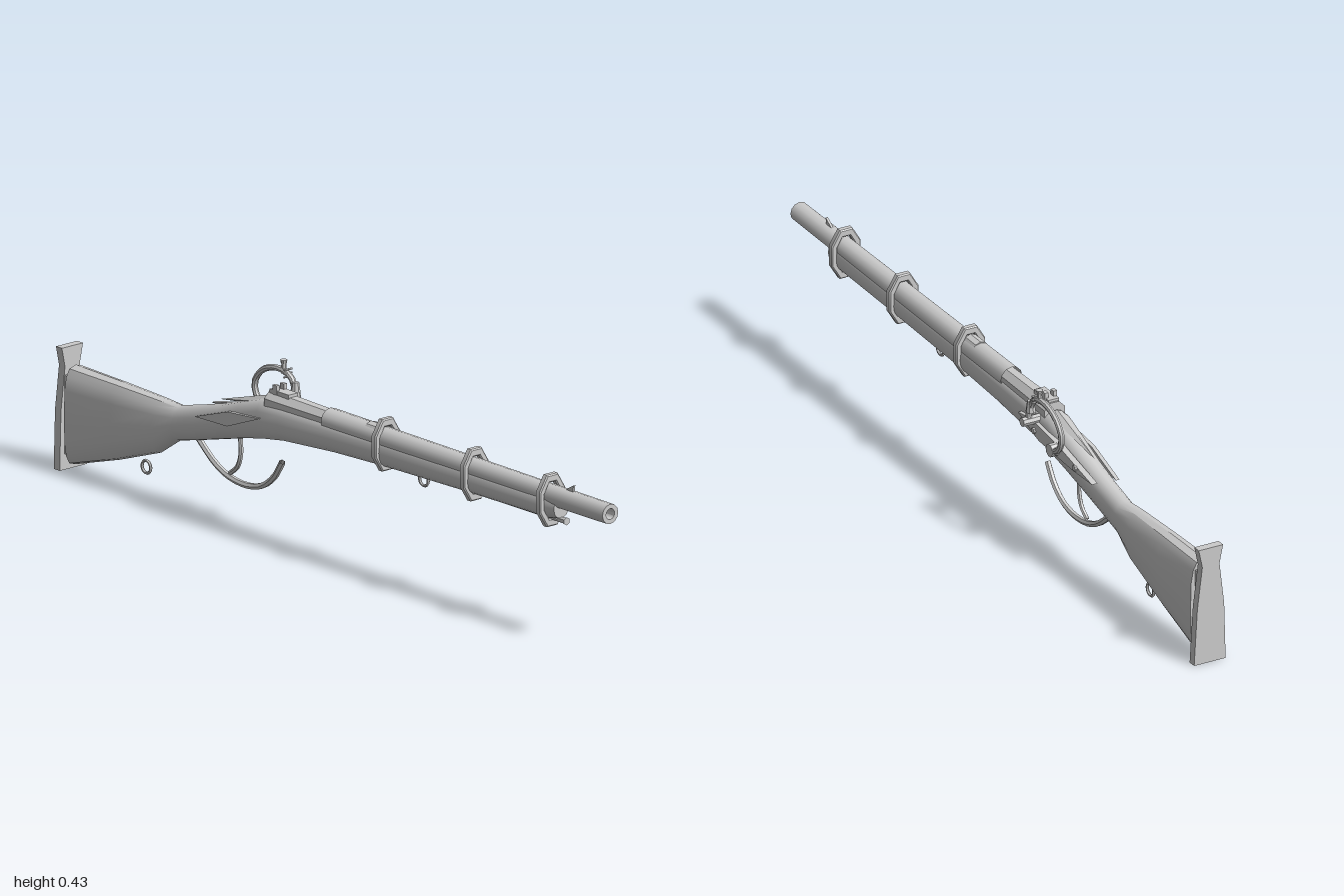
import * as THREE from 'three';
import { toCreasedNormals } from 'three/addons/utils/BufferGeometryUtils.js';

const CX = -0.017; // centre line of barrel and stock
const mat = new THREE.MeshStandardMaterial({ color: 0xcccccc, side: THREE.DoubleSide });

function add(group, name, geo, x = 0, y = 0, z = 0) {
  const mesh = new THREE.Mesh(toCreasedNormals(geo, 0.6), mat);
  mesh.name = name;
  mesh.position.set(x, y, z);
  group.add(mesh);
  return mesh;
}

// Closed skin over oval sections [z, bottom, top, halfWidth, roundness], running from +z to -z
function loft(sections, sides) {
  const pos = [], index = [];
  const pow = (v, p) => Math.sign(v) * Math.abs(v) ** p;
  for (const [z, lo, hi, w, p] of sections) {
    for (let j = 0; j < sides; j++) {
      const a = (j / sides) * Math.PI * 2;
      pos.push(CX + w * pow(Math.cos(a), p), (lo + hi) / 2 + (hi - lo) / 2 * pow(Math.sin(a), p), z);
    }
  }
  for (let i = 0; i < sections.length - 1; i++) {
    for (let j = 0; j < sides; j++) {
      const k = (j + 1) % sides, a = i * sides, b = a + sides;
      index.push(a + j, b + j, b + k, a + j, b + k, a + k);
    }
  }
  const last = (sections.length - 1) * sides;
  for (let j = 1; j < sides - 1; j++) index.push(0, j, j + 1, last, last + j + 1, last + j);
  const geo = new THREE.BufferGeometry();
  geo.setAttribute('position', new THREE.Float32BufferAttribute(pos, 3));
  geo.setIndex(index);
  return geo;
}

// Round bar through [z, y] points in the plane x = 0
function bar(points, radius, sides = 6) {
  const curve = new THREE.CatmullRomCurve3(points.map(([z, y]) => new THREE.Vector3(0, y, z)));
  return new THREE.TubeGeometry(curve, 16, radius, sides);
}

// Flat plate outlined by [z, y] points, with its thickness along x
function sidePlate(points, thickness) {
  const shape = new THREE.Shape(points.map(([z, y]) => new THREE.Vector2(-z, y)));
  return new THREE.ExtrudeGeometry(shape, { depth: thickness, bevelEnabled: false }).rotateY(Math.PI / 2);
}

const cylZ = (r1, r2, len, sides) => new THREE.CylinderGeometry(r1, r2, len, sides).rotateX(Math.PI / 2);
const cylX = (r, len, sides) => new THREE.CylinderGeometry(r, r, len, sides).rotateZ(Math.PI / 2);

function ovalPoints(w, h, sides) {
  return Array.from({ length: sides }, (_, i) => {
    const a = ((i + 0.5) / sides) * Math.PI * 2;
    return new THREE.Vector2(w * Math.cos(a), h * Math.sin(a));
  });
}

export function createModel() {
  const rifle = new THREE.Group();
  rifle.name = 'rifle';

  // One-piece stock from forend to butt
  add(rifle, 'stock', loft([
    [0.82, 0.292, 0.345, 0.024, 0.9],
    [0.78, 0.285, 0.352, 0.029, 0.9],
    [0.5, 0.282, 0.352, 0.030, 0.9],
    [0.18, 0.275, 0.352, 0.031, 0.9],
    [0, 0.268, 0.350, 0.034, 0.9],
    [-0.18, 0.255, 0.350, 0.038, 0.85],
    [-0.26, 0.242, 0.348, 0.038, 0.85],
    [-0.34, 0.224, 0.322, 0.036, 0.9],
    [-0.42, 0.203, 0.294, 0.033, 0.95],
    [-0.5, 0.182, 0.272, 0.031, 0.95],
    [-0.58, 0.162, 0.252, 0.031, 0.95],
    [-0.65, 0.115, 0.257, 0.034, 0.85],
    [-0.8, 0.062, 0.262, 0.037, 0.75],
    [-0.965, 0.012, 0.265, 0.038, 0.65],
  ], 16), 0, 0, 0);

  // Barrel with an open muzzle, then the tapered breech
  const profile = [[0.03, -0.03], [0.029, 0.2], [0.0255, 1], [0.014, 1], [0.014, 0.85], [0, 0.85]];
  add(rifle, 'barrel', new THREE.LatheGeometry(
    profile.map(([r, y]) => new THREE.Vector2(r, y)), 12).rotateX(Math.PI / 2), CX, 0.344, 0);
  add(rifle, 'breech', cylZ(0.024, 0.031, 0.37, 8).rotateZ(Math.PI / 8), CX, 0.342, -0.055);
  add(rifle, 'breechCollar', cylZ(0.024, 0.024, 0.05, 10), CX, 0.352, 0.145);
  add(rifle, 'tang', new THREE.ConeGeometry(0.02, 0.2, 4).rotateX(-Math.PI / 2 - 0.3)
    .scale(1, 0.7, 1), CX, 0.322, -0.34);

  // Barrel bands
  for (const z of [0.78, 0.5, 0.175]) {
    const ring = new THREE.Shape(ovalPoints(0.041, 0.068, 8));
    ring.holes.push(new THREE.Path(ovalPoints(0.031, 0.053, 8)));
    const geo = new THREE.ExtrudeGeometry(ring, {
      depth: 0.012, bevelEnabled: true, bevelSize: 0.003, bevelThickness: 0.003, bevelSegments: 1,
    });
    add(rifle, 'barrelBand', geo, CX, 0.33, z - 0.006);
  }

  // Ramrod, sights and sling loops
  add(rifle, 'ramrod', cylZ(0.005, 0.005, 0.62, 6), CX, 0.285, 0.52);
  add(rifle, 'ramrodTip', cylZ(0.010, 0.005, 0.03, 6), CX, 0.288, 0.825);
  add(rifle, 'frontSight', sidePlate([[0.835, 0.365], [0.865, 0.365], [0.868, 0.386], [0.85, 0.376]], 0.006), CX - 0.003);
  add(rifle, 'rearSightBase', new THREE.BoxGeometry(0.03, 0.012, 0.07), CX, 0.371, -0.2);
  for (const s of [-1, 1]) {
    add(rifle, 'rearSightLeaf', new THREE.BoxGeometry(0.01, 0.024, 0.014), CX + s * 0.012, 0.379, -0.215);
  }
  for (const [y, z] of [[0.272, 0.315], [0.066, -0.705]]) {
    add(rifle, 'slingLoop', new THREE.TorusGeometry(0.016, 0.004, 6, 14).rotateY(Math.PI / 2), CX, y, z);
  }

  // Trigger guard and trigger
  add(rifle, 'triggerGuard', bar([[-0.205, 0.195], [-0.235, 0.15], [-0.28, 0.117], [-0.34, 0.105],
    [-0.41, 0.115], [-0.46, 0.14], [-0.515, 0.185]], 0.008), CX);
  add(rifle, 'trigger', bar([[-0.36, 0.225], [-0.358, 0.18], [-0.37, 0.145], [-0.397, 0.122]], 0.006), CX);

  // Lock plate on the left, counter plate on the right
  const outline = [[-0.14, 0.312], [-0.2, 0.322], [-0.34, 0.305], [-0.5, 0.272], [-0.4, 0.27], [-0.24, 0.278]];
  add(rifle, 'lockPlate', sidePlate(outline, 0.016), 0.013);
  add(rifle, 'counterPlate', sidePlate(
    [[-0.24, 0.305], [-0.36, 0.295], [-0.48, 0.255], [-0.36, 0.258]], 0.01), -0.06);
  for (const [y, z] of [[0.297, -0.22], [0.283, -0.42]]) {
    add(rifle, 'lockScrew', cylX(0.008, 0.006, 8), 0.031, y, z);
  }

  // Hammer arching forward over the nipple
  const hammer = new THREE.Group();
  hammer.name = 'hammer';
  hammer.position.x = 0.04;
  rifle.add(hammer);
  add(hammer, 'hammerArm', bar([[-0.325, 0.288], [-0.36, 0.31], [-0.372, 0.345], [-0.35, 0.38],
    [-0.31, 0.4], [-0.265, 0.402], [-0.235, 0.388], [-0.222, 0.355]], 0.008, 8));
  add(hammer, 'hammerPivot', cylX(0.017, 0.022, 10), -0.003, 0.293, -0.325);
  add(hammer, 'hammerHead', new THREE.CylinderGeometry(0.009, 0.013, 0.03, 8), 0, 0.367, -0.222);
  add(hammer, 'hammerSpur', new THREE.CylinderGeometry(0.006, 0.007, 0.03, 6), 0, 0.41, -0.265);
  add(hammer, 'spurCap', new THREE.CylinderGeometry(0.009, 0.007, 0.009, 8), 0, 0.425, -0.265);
  for (const y of [0.39, 0.398, 0.408]) {
    add(hammer, 'hammerPin', cylX(0.0025, 0.026, 6), 0, y, -0.25);
  }

  // Nipple and its side bolster
  add(rifle, 'nippleBolster', cylX(0.012, 0.05, 8), 0.036, 0.325, -0.215);
  add(rifle, 'nipple', new THREE.CylinderGeometry(0.006, 0.009, 0.03, 8), 0.042, 0.342, -0.215);

  // Butt plate, waisted near the top and wide at the foot
  const plate = new THREE.Shape([[-0.057, 0], [0.031, 0], [0.022, 0.15], [0.008, 0.262], [0.018, 0.31],
    [-0.05, 0.31], [-0.04, 0.262], [-0.053, 0.15]].map(([x, y]) => new THREE.Vector2(x, y)));
  add(rifle, 'buttPlate', new THREE.ExtrudeGeometry(plate, { depth: 0.022, bevelEnabled: false }), 0, 0, -1);
  add(rifle, 'buttFiller', new THREE.BoxGeometry(0.05, 0.2, 0.03), CX, 0.14, -0.972);

  return rifle;
}
